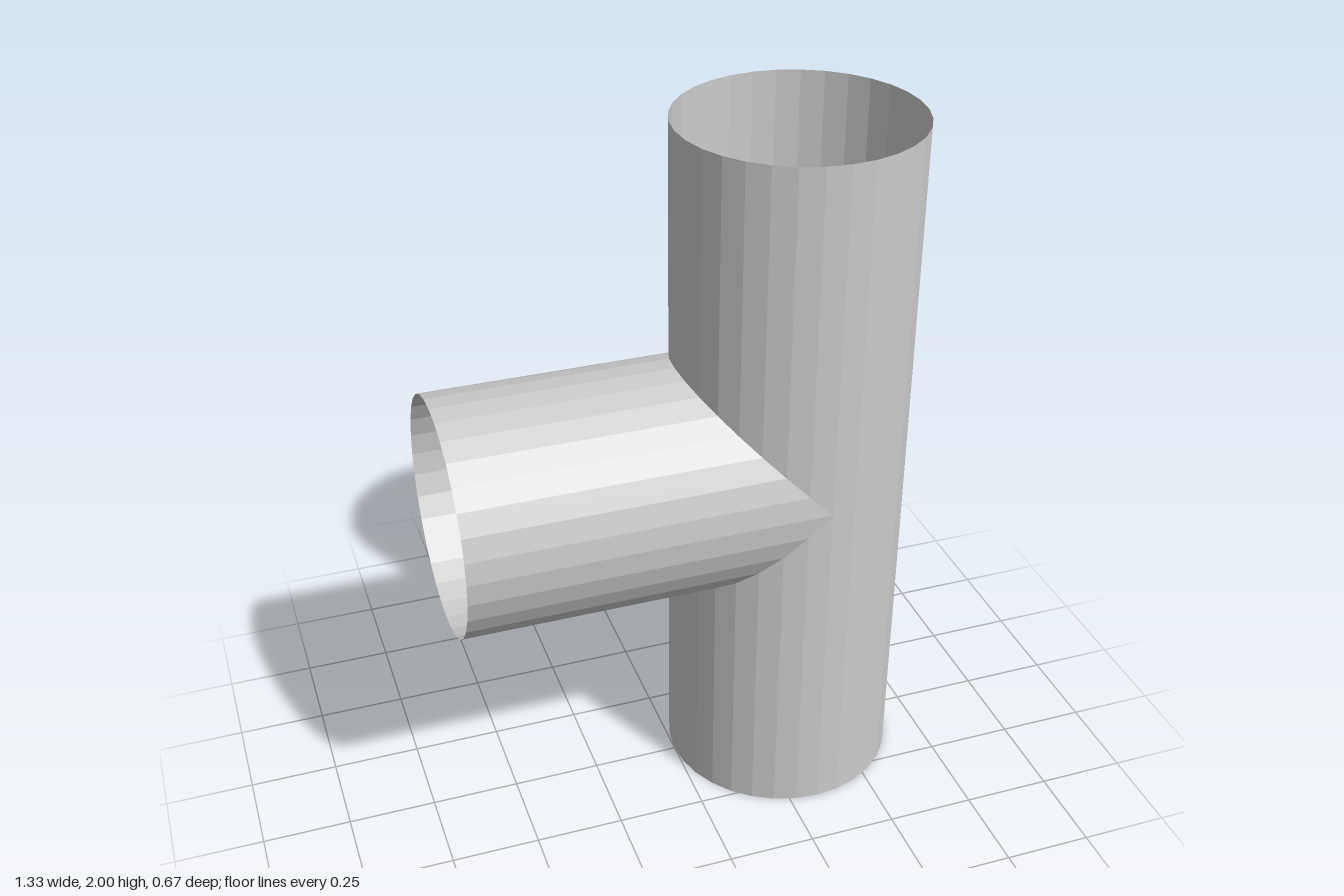
import * as THREE from 'three';

const R = 1 / 3;      // pipe radius; the main pipe's axis stands at x = R
const SIDES = 32;
const MID = 1;        // height of the branch axis
const END = -2 / 3;   // open end of the branch

// Skin between two closed rings; each ring is a function of angle giving [x, y, z]
function skin(name, lower, upper, material) {
  const pos = [];
  for (let i = 0; i < SIDES; i++) {
    const a = (i / SIDES) * Math.PI * 2;
    const b = ((i + 1) / SIDES) * Math.PI * 2;
    pos.push(...lower(a), ...lower(b), ...upper(b));
    pos.push(...lower(a), ...upper(b), ...upper(a));
  }
  const geometry = new THREE.BufferGeometry();
  geometry.setAttribute('position', new THREE.Float32BufferAttribute(pos, 3));
  geometry.computeVertexNormals();
  const mesh = new THREE.Mesh(geometry, material);
  mesh.name = name;
  return mesh;
}

export function createModel() {
  const material = new THREE.MeshStandardMaterial({
    color: 0xcccccc, flatShading: true, side: THREE.DoubleSide,
  });

  // Point on the main pipe; angle 0 faces the branch
  const onMain = (a, y) => [R - R * Math.cos(a), y, R * Math.sin(a)];
  // Half height of the branch opening at that angle (zero on the far half)
  const gap = (a) => Math.max(0, R * Math.cos(a));
  // Point on the branch, angle 0 at the top
  const onBranch = (a, x) => [x, MID + R * Math.cos(a), -R * Math.sin(a)];

  const group = new THREE.Group();
  group.name = 'pipeTee';
  group.add(
    // Main pipe in two halves, leaving the opening where the branch joins
    skin('mainPipeLower', (a) => onMain(a, 0), (a) => onMain(a, MID - gap(a)), material),
    skin('mainPipeUpper', (a) => onMain(a, MID + gap(a)), (a) => onMain(a, 2), material),
    // Branch pipe, its inner end cut to the main pipe's surface
    skin('branchPipe', (a) => onBranch(a, R - R * Math.abs(Math.cos(a))), (a) => onBranch(a, END), material),
  );
  return group;
}
